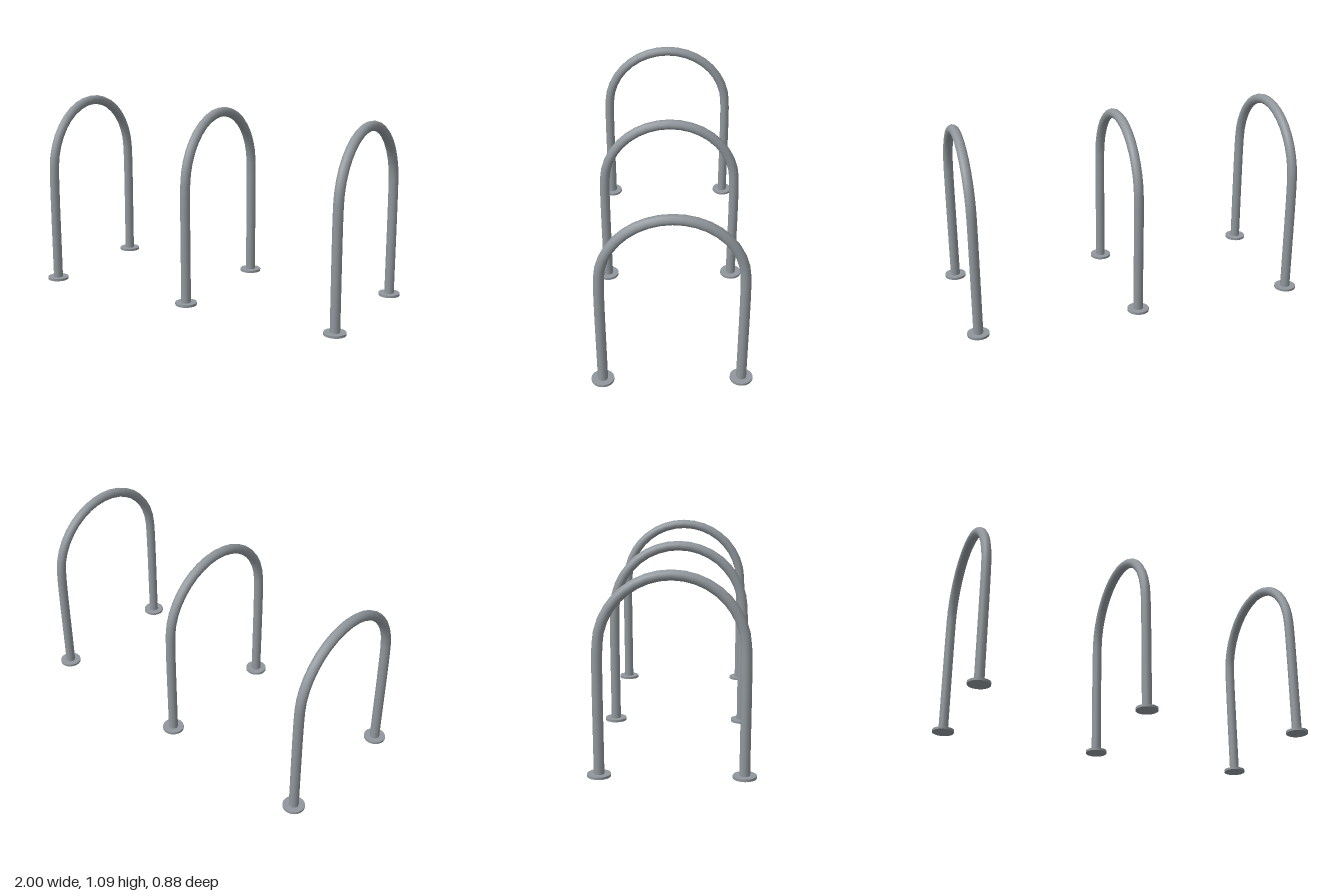
import * as THREE from 'three';

const HALF_SPAN = 0.378, SPRING_Y = 0.685, TUBE_R = 0.028;
const FLANGE_R = 0.0625, FLANGE_H = 0.014, SPACING = 0.9375;

export function createModel() {
  const model = new THREE.Group();
  model.name = 'bikeRack';
  const steel = new THREE.MeshStandardMaterial({ color: 0x90979c });
  steel.name = 'galvanised steel grey';

  // Hoop centreline: straight leg, half circle, straight leg
  const points = [new THREE.Vector3(0, 0.002, HALF_SPAN)];
  const steps = 16;
  for (let i = 0; i <= steps; i++) {
    const a = (i / steps) * Math.PI;
    points.push(new THREE.Vector3(0, SPRING_Y + HALF_SPAN * Math.sin(a), HALF_SPAN * Math.cos(a)));
  }
  points.push(new THREE.Vector3(0, 0.002, -HALF_SPAN));
  const hoopGeometry = new THREE.TubeGeometry(new THREE.CatmullRomCurve3(points), 40, TUBE_R, 12);
  const flangeGeometry = new THREE.CylinderGeometry(FLANGE_R, FLANGE_R, FLANGE_H, 24);

  // Three hoops in a row, each on two round base plates
  for (const x of [-SPACING, 0, SPACING]) {
    const stand = new THREE.Group();
    stand.name = 'stand';
    stand.position.x = x;

    const hoop = new THREE.Mesh(hoopGeometry, steel);
    hoop.name = 'hoop';
    stand.add(hoop);

    for (const side of [1, -1]) {
      const flange = new THREE.Mesh(flangeGeometry, steel);
      flange.name = side > 0 ? 'frontBasePlate' : 'backBasePlate';
      flange.position.set(0, FLANGE_H / 2, side * HALF_SPAN);
      stand.add(flange);
    }
    model.add(stand);
  }
  return model;
}
